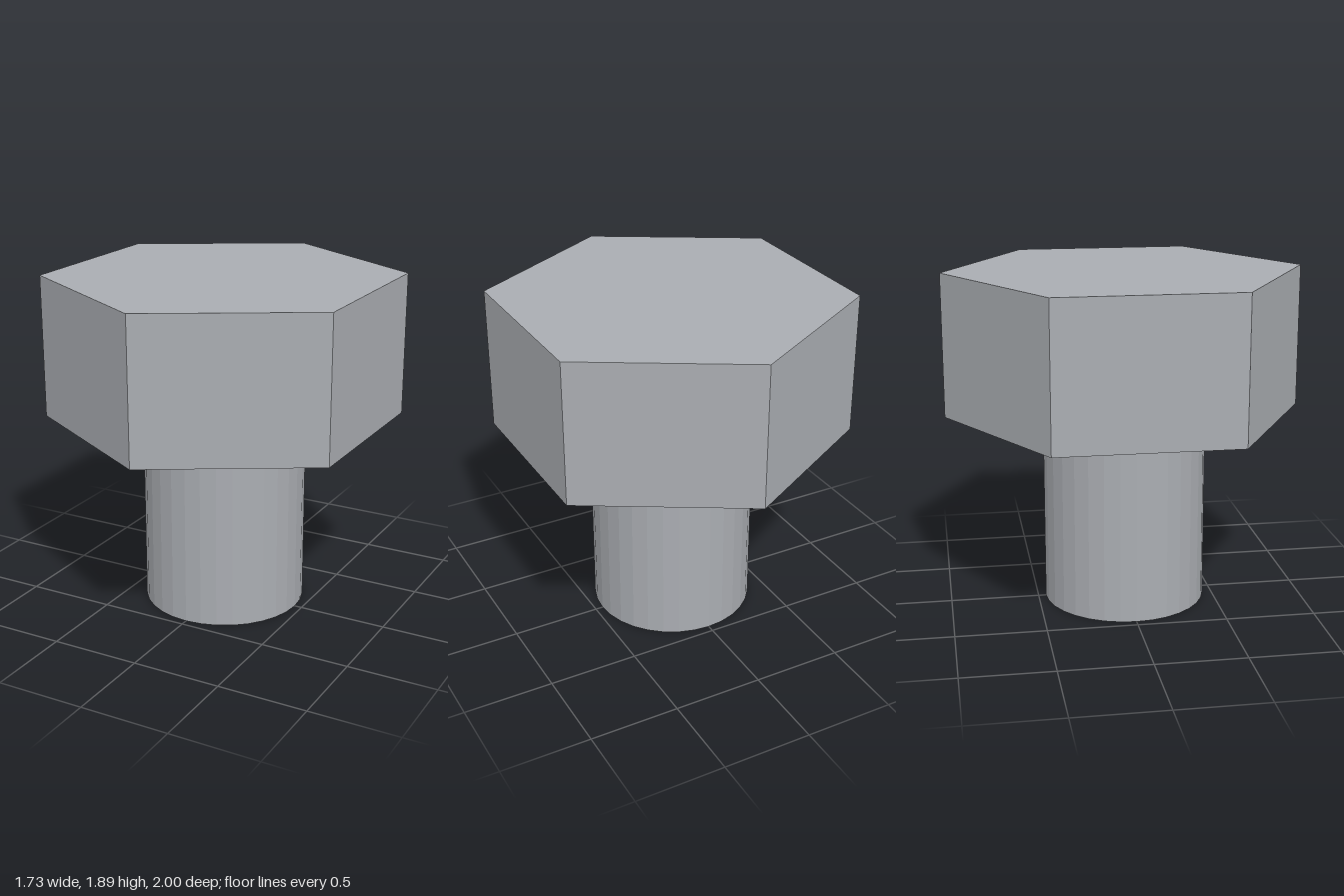
import * as THREE from 'three';

export function createModel() {
  const model = new THREE.Group();
  model.name = 'hexBolt';
  const steel = new THREE.MeshStandardMaterial({ color: 0xaaadb2, flatShading: true });
  steel.name = 'steel grey';

  // Upright prism standing on the given base height
  const addPrism = (name, radius, base, height, sides) => {
    const mesh = new THREE.Mesh(new THREE.CylinderGeometry(radius, radius, height, sides), steel);
    mesh.name = name;
    mesh.position.y = base + height / 2;
    model.add(mesh);
  };

  const shaftHeight = 1.09;
  addPrism('shaft', 0.457, 0, shaftHeight, 32);
  // Hexagonal head with corners at front and back
  addPrism('head', 1, shaftHeight, 0.8, 6);

  return model;
}
